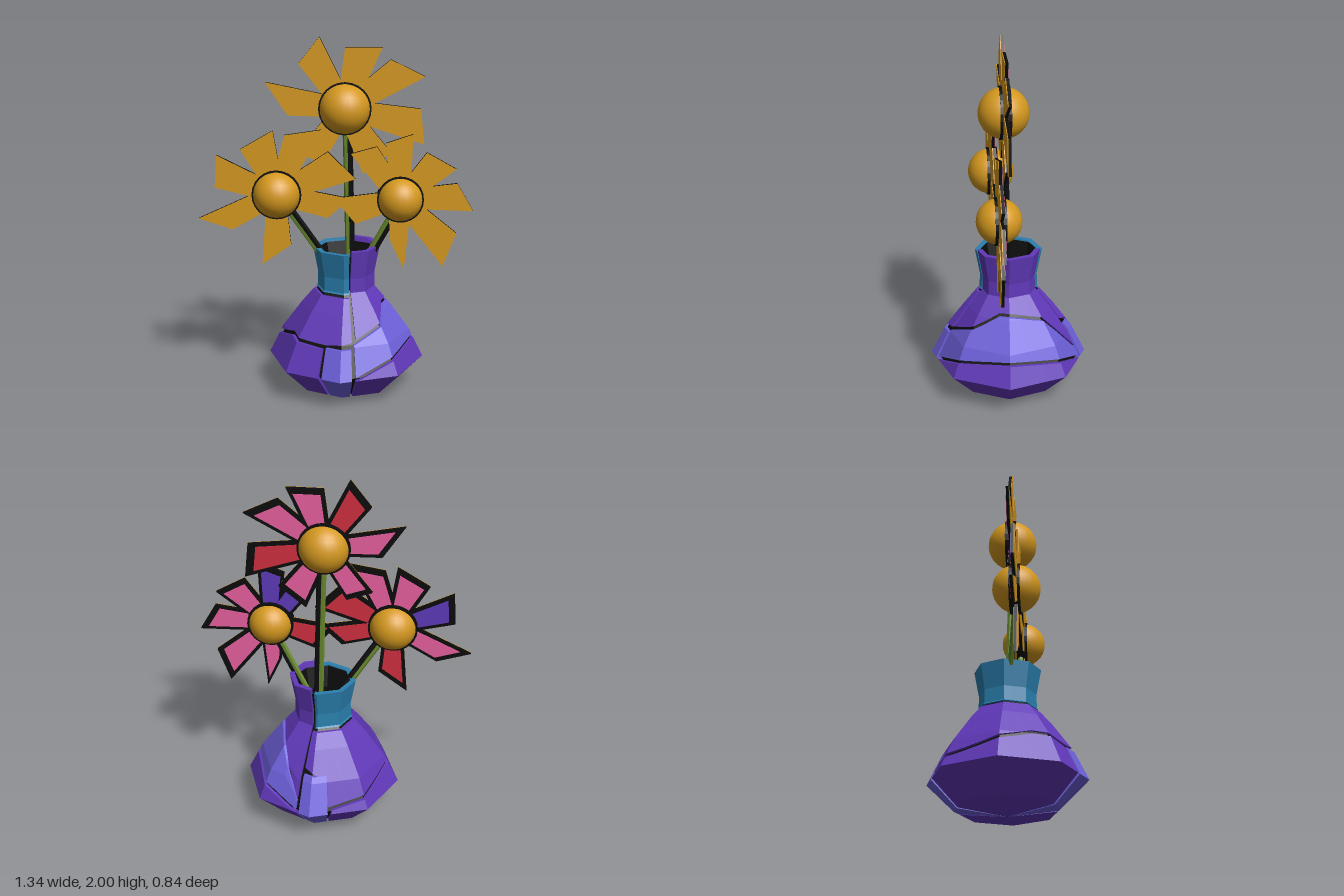
import * as THREE from 'three';

const COL = {
  yellow: 0xd4981f, black: 0x0c0c0c, pink: 0xe8609f, red: 0xd03040, violet: 0x5f3bba,
  purple: 0x6038b8, light: 0x6c5fd8, blue: 0x2a7fae, green: 0x66862a,
};
const mats = {};
for (const k in COL) {
  const smooth = k === 'yellow';
  mats[k] = new THREE.MeshStandardMaterial({ color: COL[k], flatShading: !smooth, side: THREE.DoubleSide });
}

function mesh(name, geo, color, parent) {
  const m = new THREE.Mesh(geo, mats[color]);
  m.name = name;
  parent.add(m);
  return m;
}

// Piecewise linear lookup through [x, y] pairs
function lerpTable(t, x) {
  if (x <= t[0][0]) return t[0][1];
  for (let i = 1; i < t.length; i++) {
    const [x0, y0] = t[i - 1], [x1, y1] = t[i];
    if (x <= x1) return y0 + (y1 - y0) * (x - x0) / (x1 - x0);
  }
  return t[t.length - 1][1];
}

// Vase profile as [height, radius], eight flat sides
const PROFILE = [[0, 0.02], [0.035, 0.285], [0.185, 0.435], [0.35, 0.355], [0.5, 0.245], [0.6, 0.16], [0.68, 0.158], [0.84, 0.188]];
const RAD = Math.PI / 180;

function vasePoint(a, y, inset) {
  const off = ((a + 375) % 45) - 22.5;
  const r = Math.max(0.005, lerpTable(PROFILE, y) - inset) * Math.cos(22.5 * RAD) / Math.cos(off * RAD);
  return [r * Math.cos(a * RAD), y, r * Math.sin(a * RAD)];
}

// A raised piece of the vase wall between two angles and two edge curves, with its rim turned inward
function shard(name, color, a0, a1, lo, hi, parent) {
  const cols = [a0, a0];
  for (let a = Math.floor(a0 / 15) * 15 + 15; a < a1; a += 15) cols.push(a);
  cols.push(a1, a1);
  const grid = cols.map((a, i) => {
    const l = lerpTable(lo, a), h = lerpTable(hi, a);
    const ys = [l, l, ...PROFILE.map(p => Math.min(h, Math.max(l, p[0]))), h, h];
    return ys.map((y, j) => {
      const edge = i === 0 || i === cols.length - 1 || j === 0 || j === ys.length - 1;
      return vasePoint(a, y, edge ? 0.03 : 0);
    });
  });
  const pos = [];
  for (let i = 0; i + 1 < grid.length; i++) {
    for (let j = 0; j + 1 < grid[i].length; j++) {
      const p = grid[i][j], q = grid[i][j + 1], r = grid[i + 1][j + 1], s = grid[i + 1][j];
      pos.push(...p, ...q, ...r, ...p, ...r, ...s);
    }
  }
  const g = new THREE.BufferGeometry();
  g.setAttribute('position', new THREE.Float32BufferAttribute(pos, 3));
  g.computeVertexNormals();
  mesh(name, g, color, parent);
}

function buildVase() {
  const vase = new THREE.Group();
  vase.name = 'vase';
  vase.position.x = 0.09;
  // Dark lining that shows through the cracks
  const pts = PROFILE.map(([y, r]) => new THREE.Vector2(Math.max(0, r - 0.022), Math.min(0.81, y + 0.008)));
  mesh('vaseLining', new THREE.LatheGeometry(pts, 8, 15 * RAD), 'black', vase);

  // Crack curves as [angle, height]
  const flat = y => [[0, y]];
  const shift = (t, d) => t.map(([a, y]) => [a, y + d]);
  const bandLow = [[-48, 0.2], [-15, 0.28], [30, 0.315], [75, 0.28], [108, 0.2]];
  const bandTop = [[-48, 0.24], [-40, 0.32], [-17, 0.47], [28, 0.515], [48, 0.51], [75, 0.43], [108, 0.36]];
  const leftCrack = [[112, 0.36], [138, 0.34], [180, 0.36], [230, 0.28], [285, 0.21], [286, 0.36], [309, 0.4]];
  shard('frontSliver', 'light', 111, 135, flat(0), flat(0.34), vase);
  shard('backSliver', 'light', 286, 309, flat(0), flat(0.38), vase);
  shard('rightBand', 'light', -48, 108, bandLow, bandTop, vase);
  shard('lowerRightWall', 'purple', -48, 108, flat(0), shift(bandLow, -0.02), vase);
  shard('lowerLeftWall', 'purple', 138, 283, flat(0), shift(leftCrack, -0.01), vase);
  shard('upperRightWall', 'purple', -48, 106, shift(bandTop, 0.018), flat(0.84), vase);
  shard('upperLeftWall', 'purple', 110, 309, shift(leftCrack, 0.012), flat(0.575), vase);
  shard('neckCollar', 'blue', 110, 305, flat(0.592), flat(0.825), vase);
  return vase;
}

// Each petal: colour and the two corners of its outer end, in the flower's plane
const FLOWERS = [
  { name: 'topFlower', at: [0.07, 1.61, 0.02], r: 0.138, foot: [0.11, 0.4, 0.0], petals: [
    ['pink', -0.31, -0.04, -0.43, 0.14], ['red', -0.25, 0.24, -0.137, 0.385], ['pink', 0, 0.33, 0.2, 0.33],
    ['pink', 0.245, 0.265, 0.43, 0.175], ['red', 0.41, 0, 0.43, -0.195], ['pink', 0.25, -0.24, 0.1, -0.36],
    ['pink', -0.12, -0.3, -0.26, -0.25]] },
  { name: 'leftFlower', at: [-0.28, 1.14, -0.11], r: 0.13, foot: [0.1, 0.55, 0.0], petals: [
    ['violet', -0.338, 0.037, -0.326, 0.216], ['pink', -0.195, 0.25, -0.018, 0.354], ['pink', 0.047, 0.33, 0.243, 0.36],
    ['red', 0.28, 0.24, 0.43, 0.09], ['red', 0.4, -0.02, 0.28, -0.13], ['red', 0.077, -0.285, -0.083, -0.4],
    ['pink', -0.243, -0.2, -0.43, -0.14]] },
  { name: 'rightFlower', at: [0.32, 1.12, 0.2], r: 0.122, foot: [0.08, 0.55, 0.0], petals: [
    ['red', -0.243, -0.142, -0.36, 0], ['violet', -0.27, 0.25, -0.13, 0.29], ['violet', -0.08, 0.31, 0.065, 0.36],
    ['pink', 0.14, 0.26, 0.3, 0.17], ['pink', 0.308, 0.09, 0.397, -0.063], ['pink', 0.308, -0.19, 0.237, -0.38],
    ['pink', 0.024, -0.4, -0.053, -0.232]] },
];
const TURN = -27.3 * RAD;

function slab(pts, depth, z) {
  const g = new THREE.ExtrudeGeometry(new THREE.Shape(pts), { depth, bevelEnabled: false });
  return g.translate(0, 0, z);
}

function buildFlower({ name, at, r, foot, petals }) {
  const flower = new THREE.Group();
  flower.name = name;
  const head = new THREE.Group();
  head.name = 'flowerHead';
  head.position.set(...at);
  head.rotation.y = TURN;
  flower.add(head);

  // Petals: plain face in front, dark frame with a coloured panel behind
  for (const [color, x0, y0, x1, y1] of petals) {
    const a = new THREE.Vector2(x0, y0), b = new THREE.Vector2(x1, y1);
    const dir = a.clone().add(b).normalize();
    const side = new THREE.Vector2(dir.y, -dir.x).multiplyScalar(0.058);
    const root = dir.clone().multiplyScalar(0.09);
    const quad = [root.clone().sub(side), a, b, root.clone().add(side)];
    const mid = quad.reduce((s, p) => s.add(p), new THREE.Vector2()).multiplyScalar(0.25);
    const panel = quad.map(p => p.clone().lerp(mid, 0.27));
    mesh('petalFace', slab(quad, 0.004, 0.006), 'yellow', head);
    mesh('petalFrame', slab(quad, 0.016, -0.01), 'black', head);
    mesh('petalPanel', slab(panel, 0.004, -0.014), color, head);
  }

  // Domed centre with a dark ring around it
  mesh('flowerCentre', new THREE.SphereGeometry(r, 24, 16), 'yellow', head);
  const ring = new THREE.CylinderGeometry(r + 0.006, r + 0.006, 0.06, 24).rotateX(Math.PI / 2);
  mesh('centreRing', ring, 'black', head).position.z = -0.005;

  // Stem with a dark strip along one side
  const top = new THREE.Vector3(...at), base = new THREE.Vector3(...foot);
  const bend = top.clone().lerp(base, 0.5).add(new THREE.Vector3(0.005, 0, 0));
  const curve = new THREE.QuadraticBezierCurve3(top, bend, base);
  mesh('stem', new THREE.TubeGeometry(curve, 6, 0.016, 6), 'green', flower);
  const strip = mesh('stemShade', new THREE.TubeGeometry(curve, 6, 0.017, 6), 'black', flower);
  strip.position.set(0.018, 0, 0.009);
  return flower;
}

export function createModel() {
  const model = new THREE.Group();
  model.name = 'vaseOfFlowers';
  model.add(buildVase());
  for (const f of FLOWERS) model.add(buildFlower(f));
  return model;
}
